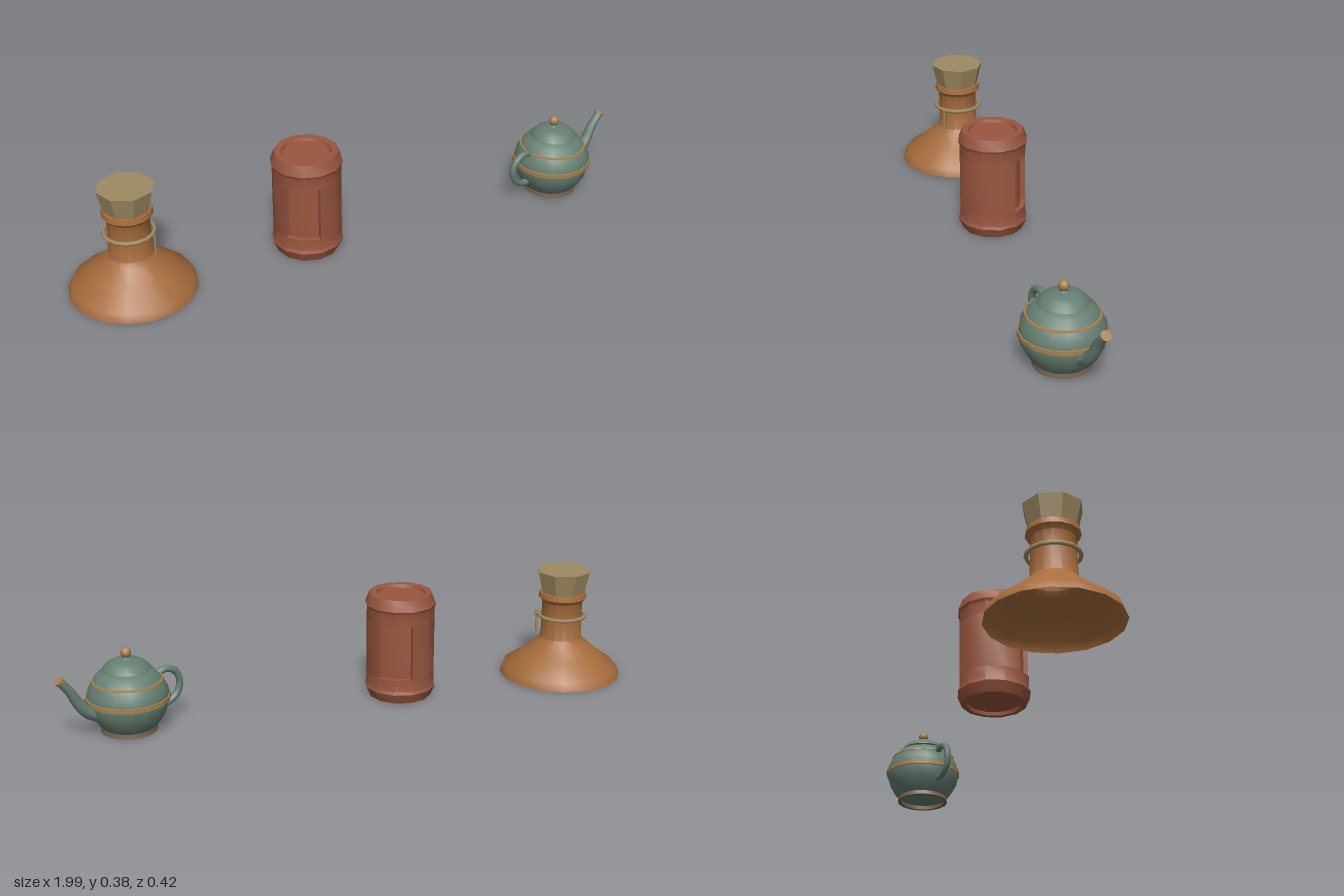
import * as THREE from 'three';
import { toCreasedNormals } from 'three/addons/utils/BufferGeometryUtils.js';

const mat = (name, color) => {
  const m = new THREE.MeshStandardMaterial({ color, side: THREE.DoubleSide });
  m.name = name;
  return m;
};

export function createModel() {
  const amber = mat('amber clay', 0xa66c3c);
  const cork = mat('cork', 0x9e8962);
  const rope = mat('rope', 0xa08a62);
  const terracotta = mat('terracotta', 0x995640);
  const teal = mat('teal glaze', 0x667f72);
  const gold = mat('tan trim', 0xa5814f);
  const footBrown = mat('foot brown', 0x75604f);

  const add = (parent, name, geometry, material) => {
    const mesh = new THREE.Mesh(geometry, material);
    mesh.name = name;
    parent.add(mesh);
    return mesh;
  };
  const group = (parent, name, x) => {
    const g = new THREE.Group();
    g.name = name;
    g.position.x = x;
    parent.add(g);
    return g;
  };
  // Revolved profile of [radius, height] pairs, listed bottom to top outside
  const lathe = (points, sides, crease = 0.6, start = 0, sweep = Math.PI * 2) =>
    toCreasedNormals(new THREE.LatheGeometry(
      points.map(([r, y]) => new THREE.Vector2(r, y)), sides, start, sweep), crease);
  const curve = (points) => new THREE.CatmullRomCurve3(
    points.map(([x, y]) => new THREE.Vector3(x, y, 0)));

  const model = new THREE.Group();
  model.name = 'vessels';

  // Flask: hollow flared body, open underneath
  const flask = group(model, 'flask', -0.79);
  add(flask, 'flaskBody', lathe([
    [0.21, 0], [0.2, 0.028], [0.135, 0.076], [0.085, 0.12], [0.072, 0.135],
    [0.069, 0.21], [0.07, 0.265], [0.083, 0.28], [0.08, 0.298], [0.06, 0.3],
  ], 16, 0.7), amber);
  const stopper = new THREE.CylinderGeometry(0.094, 0.075, 0.08, 8).toNonIndexed();
  stopper.computeVertexNormals();
  add(flask, 'corkStopper', stopper, cork).position.y = 0.335;

  // Rope around the neck with a loose hanging end
  const ring = new THREE.TorusGeometry(0.081, 0.007, 6, 16);
  ring.rotateX(Math.PI / 2);
  add(flask, 'neckRope', ring, rope).position.y = 0.213;
  const cord = new THREE.CylinderGeometry(0.004, 0.004, 0.08, 6);
  add(flask, 'ropeEnd', cord, rope).position.set(0.064, 0.175, 0.064);

  // Canister: bevelled ends, sunken lid and base
  const can = group(model, 'canister', -0.183);
  const R = 0.115, inner = 0.097, low = 0.085, high = 0.275;
  add(can, 'canisterBase', lathe([
    [0, 0.012], [0.088, 0.012], [0.09, 0], [0.105, 0], [0.12, 0.034],
    [R, 0.045], [R, low],
  ], 12), terracotta);
  add(can, 'canisterTop', lathe([
    [R, high], [R, 0.315], [0.12, 0.325], [0.106, 0.362], [0.084, 0.362],
    [0.08, 0.351], [0, 0.351],
  ], 12), terracotta);
  // Two opposite recessed panels, each two facets wide, between plain walls
  const third = Math.PI / 3;
  for (const turn of [0, Math.PI]) {
    add(can, 'canisterWall', lathe([[R, low], [R, high]], 4, 0.6, turn, 2 * third), terracotta);
    add(can, 'recessedPanel', lathe([[R, low], [inner, low], [inner, high], [R, high]],
      2, 0.6, turn + 2 * third, third), terracotta);
    for (const edge of [2 * third, 3 * third]) {
      const a = turn + edge;
      const side = new THREE.PlaneGeometry(R - inner, high - low);
      side.translate((R + inner) / 2, (low + high) / 2, 0);
      add(can, 'panelSide', side, terracotta).rotation.y = a - Math.PI / 2;
    }
  }

  // Teapot, turned slightly so the spout points backward
  const pot = group(model, 'teapot', 0.752);
  pot.rotation.y = 0.26;
  add(pot, 'potBody', lathe([
    [0, 0.014], [0.088, 0.014], [0.105, 0.035], [0.125, 0.07], [0.134, 0.11],
    [0.129, 0.14], [0.113, 0.17], [0.092, 0.196], [0.07, 0.205],
  ], 16), teal);
  add(pot, 'foot', lathe([
    [0.08, 0.014], [0.08, 0], [0.092, 0], [0.089, 0.016],
  ], 16), footBrown);
  add(pot, 'lid', lathe([
    [0.066, 0.205], [0.079, 0.207], [0.077, 0.212], [0.062, 0.227],
    [0.044, 0.237], [0.015, 0.242], [0.011, 0.246], [0.013, 0.253],
  ], 16), teal);
  add(pot, 'lidKnob', new THREE.SphereGeometry(0.0175, 12, 8), gold).position.y = 0.262;
  add(pot, 'wideBand', lathe([
    [0.13, 0.103], [0.137, 0.104], [0.137, 0.119], [0.13, 0.12],
  ], 16), gold);
  add(pot, 'thinBand', lathe([
    [0.108, 0.167], [0.117, 0.168], [0.116, 0.173], [0.108, 0.174],
  ], 16), gold);

  // Handle loop
  const loop = curve([
    [-0.1, 0.165], [-0.14, 0.177], [-0.172, 0.163], [-0.188, 0.125],
    [-0.176, 0.085], [-0.145, 0.062], [-0.115, 0.06],
  ]);
  add(pot, 'handle', new THREE.TubeGeometry(loop, 18, 0.012, 8), teal);

  // Tapered spout: each ring of a unit tube shrinks toward the tip
  const path = curve([[0.1, 0.075], [0.14, 0.09], [0.175, 0.13], [0.2, 0.175], [0.232, 0.213]]);
  const steps = 10, sides = 8;
  const spout = new THREE.TubeGeometry(path, steps, 1, sides);
  const p = spout.attributes.position, v = new THREE.Vector3();
  for (let i = 0; i < p.count; i++) {
    const t = Math.floor(i / (sides + 1)) / steps;
    const c = path.getPointAt(t);
    v.fromBufferAttribute(p, i).sub(c).multiplyScalar(0.03 - 0.017 * Math.sqrt(t)).add(c);
    p.setXYZ(i, v.x, v.y, v.z);
  }
  spout.computeVertexNormals();
  add(pot, 'spout', spout, teal);
  const lip = add(pot, 'spoutLip', new THREE.CylinderGeometry(0.017, 0.016, 0.009, 10), gold);
  lip.position.copy(path.getPointAt(1));
  lip.quaternion.setFromUnitVectors(new THREE.Vector3(0, 1, 0), path.getTangentAt(1));

  return model;
}
